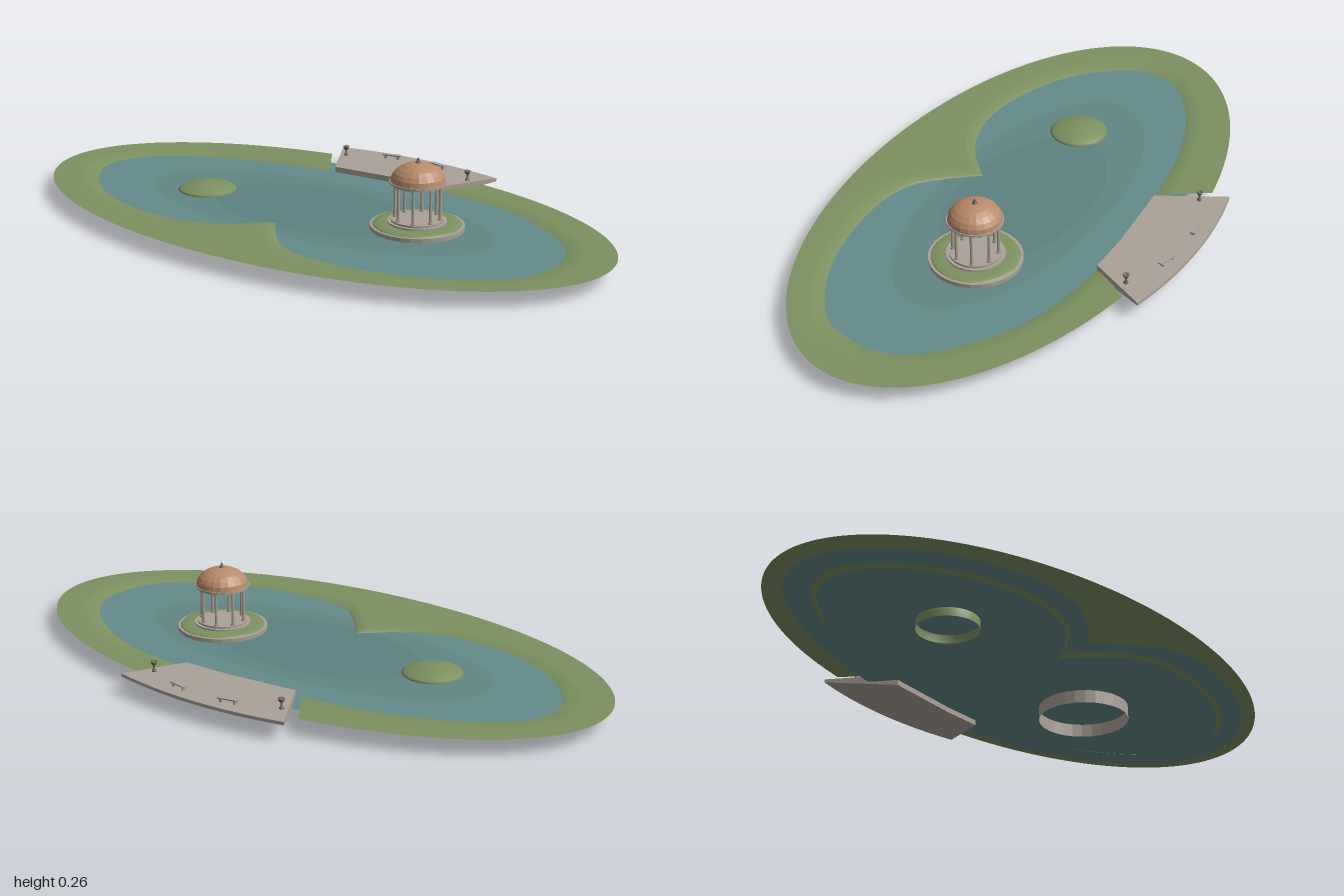
import * as THREE from 'three';

const V = (x, y, z) => new THREE.Vector3(x, y, z);
const mat = (color, extra = {}) => new THREE.MeshStandardMaterial({ color, ...extra });
const double = { side: THREE.DoubleSide };
const GRASS = 0x7c9160, STONE = 0xaaa197, WATER = 0x648b8a;
const stone = mat(STONE, double);
const grass = mat(GRASS, double);
const bronze = mat(0x6f6a5c, double);
const tile = mat(0xb98a6a, { ...double, flatShading: true });

function add(parent, name, geometry, material, x = 0, y = 0, z = 0) {
  const mesh = new THREE.Mesh(geometry, material);
  mesh.name = name;
  mesh.position.set(x, y, z);
  parent.add(mesh);
  return mesh;
}

// Skin a list of equally long rows of points
function skin(rows) {
  const n = rows[0].length, index = [];
  for (let r = 0; r < rows.length - 1; r++) {
    for (let i = 0; i < n - 1; i++) {
      const a = r * n + i, b = a + n;
      index.push(a, a + 1, b, a + 1, b + 1, b);
    }
  }
  const g = new THREE.BufferGeometry().setFromPoints(rows.flat());
  g.setIndex(index);
  g.computeVertexNormals();
  return g;
}

const lathe = (points, segments) =>
  new THREE.LatheGeometry(points.map(([r, y]) => new THREE.Vector2(r, y)), segments);

// Waterline, from the back left gap to the front cusp, then round to the right gap
const westShore = [[-0.21, -0.32], [-0.45, -0.28], [-0.70, -0.18], [-0.83, -0.06], [-0.85, 0.06],
  [-0.77, 0.19], [-0.64, 0.29], [-0.45, 0.355], [-0.30, 0.36], [-0.18, 0.325], [-0.10, 0.27], [-0.03, 0.20]];
const eastShore = [[-0.03, 0.20], [0.05, 0.30], [0.13, 0.37], [0.27, 0.40], [0.51, 0.37], [0.68, 0.30],
  [0.81, 0.19], [0.845, 0.03], [0.81, -0.08], [0.67, -0.21], [0.46, -0.31], [0.21, -0.345]];
const shore = [westShore, eastShore].flatMap((list, k) =>
  new THREE.CatmullRomCurve3(list.map(([x, z]) => V(x, 0, z))).getPoints(90).slice(k));

// Point on the outer oval in the direction of a shore point
function rim(p) {
  const A = 1, B = 0.53, c = 0.035, d = p.clone().normalize();
  const a = d.x * d.x / (A * A) + d.z * d.z / (B * B);
  const b = -2 * d.z * c / (B * B);
  const k = c * c / (B * B) - 1;
  return d.multiplyScalar((-b + Math.sqrt(b * b - 4 * a * k)) / (2 * a));
}

// Move a shore point outward by d, at height y
const outward = (p, d, y) => p.clone().setLength(p.length() + d).setY(y);

function buildGround(root) {
  const bed = p => 0.035 - 0.006 * Math.exp(-(((p.x + 0.03) / 0.15) ** 2)) * (p.z > 0 ? 1 : 0);
  add(root, 'lawnAndBank', skin([
    shore.map(p => rim(p).setY(0.05)),
    shore.map(p => outward(p, 0.06, 0.05)),
    shore.map(p => outward(p, 0.045, 0.0495)),
    shore.map(p => outward(p, 0.02, 0.046)),
    shore.map(p => outward(p, 0, 0.042)),
    shore.map(p => outward(p, -0.02, bed(p))),
  ]), grass);

  // Water reaches under the bank, and under the terrace at the back
  const edge = shore.map(p => outward(p, Math.min(0.1, 0.6 * (rim(p).length() - p.length())), 0.042));
  edge.push(edge[0].clone());
  add(root, 'water', skin([edge, edge.map(() => V(0, 0.042, 0))]), mat(WATER, double));
  [[0.62, 0.27, 0x618786], [0.37, 0.21, 0x5d8281]].forEach(([rx, rz, color], i) => {
    const g = new THREE.CircleGeometry(1, 64).rotateX(-Math.PI / 2).scale(rx, 1, rz);
    add(root, 'deepWater', g, mat(color), 0, 0.0423 + i * 0.0003, 0.03);
  });
}

function buildMound(root) {
  add(root, 'grassIsland', lathe([[0.094, 0.015], [0.094, 0.044], [0.088, 0.049],
    [0.07, 0.056], [0.045, 0.062], [0.02, 0.065], [0, 0.066]], 28), grass, -0.41, 0, 0.067);
}

function buildTemple(root) {
  const temple = new THREE.Group();
  temple.name = 'temple';
  temple.position.set(0.345, 0, -0.007);
  root.add(temple);

  // Island with a stone wall, coping and lawn
  const wall = mat(STONE, { ...double, flatShading: true });
  add(temple, 'islandWall', lathe([[0.143, 0], [0.143, 0.055], [0.11, 0.056]], 28), wall);
  add(temple, 'islandLawn', lathe([[0.135, 0.055], [0.13, 0.06], [0.11, 0.062], [0, 0.062]], 28), grass);
  add(temple, 'lowerStep', new THREE.CylinderGeometry(0.09, 0.09, 0.006, 24), stone, 0, 0.064, 0);
  add(temple, 'upperStep', new THREE.CylinderGeometry(0.08, 0.08, 0.006, 24), stone, 0, 0.07, 0);

  // Ring of columns
  const shaft = new THREE.CylinderGeometry(0.0042, 0.005, 0.104, 10);
  const block = new THREE.CylinderGeometry(0.0075, 0.0075, 0.005, 10);
  for (let i = 0; i < 8; i++) {
    const a = (i + 0.5) * Math.PI / 4;
    const x = 0.069 * Math.cos(a), z = 0.069 * Math.sin(a);
    add(temple, 'column', shaft, stone, x, 0.125, z);
    add(temple, 'columnBase', block, stone, x, 0.0755, z);
    add(temple, 'columnCapital', block, stone, x, 0.1755, z);
  }

  // Ring beam, dome and finial
  add(temple, 'ringBeam', lathe([[0.06, 0.178], [0.078, 0.178], [0.078, 0.184], [0.086, 0.185],
    [0.086, 0.19], [0.06, 0.19], [0.06, 0.178]], 24), mat(STONE, { ...double, flatShading: true }));
  const dome = [];
  for (let i = 0; i <= 6; i++) {
    const a = i / 6 * Math.PI / 2;
    dome.push([0.083 * Math.cos(a), 0.19 + 0.056 * Math.sin(a)]);
  }
  add(temple, 'dome', lathe(dome, 20), tile);
  add(temple, 'finial', lathe([[0.008, 0.243], [0.008, 0.248], [0.004, 0.251], [0.005, 0.254], [0, 0.263]], 10), bronze);
}

function buildTerrace(root) {
  // Wedge-shaped paving: straight front, curved back, underside rising to the back
  const front = [], back = [], N = 12;
  for (let i = 0; i <= N; i++) {
    const t = i / N * 2 - 1;
    front.push(t < 0.35 ? V(-0.19 + 0.265 * (t + 1) / 1.35, 0, -0.325 - 0.02 * (t + 1) / 1.35)
      : V(0.075 + 0.135 * (t - 0.35) / 0.65, 0, -0.345));
    back.push(V(0.305 * t, 0, -0.565 + 0.035 * t * t));
  }
  const at = (row, y) => row.map(p => p.clone().setY(y));
  const loop = [at(front, 0.06), at(back, 0.06), at(back, 0.05), at(front, 0.025), at(front, 0.06)];
  const paving = mat(STONE, { ...double, flatShading: true });
  add(root, 'terrace', skin(loop), paving);
  for (const i of [0, N]) {
    add(root, 'terraceSide', skin([[loop[0][i], loop[1][i]], [loop[3][i], loop[2][i]]]), paving);
  }

  const urn = lathe([[0, 0], [0.007, 0], [0.007, 0.004], [0.003, 0.006], [0.003, 0.018],
    [0.007, 0.022], [0.01, 0.029], [0.01, 0.032], [0.007, 0.032], [0, 0.027]], 12);
  for (const s of [-1, 1]) {
    add(root, 'urn', urn, bronze, s * 0.24, 0.06, -0.457);
    const bench = new THREE.Group();
    bench.name = 'bench';
    bench.position.set(s * 0.092, 0.06, -0.515);
    bench.rotation.y = -s * 0.2;
    add(bench, 'seat', new THREE.BoxGeometry(0.064, 0.004, 0.016), stone, 0, 0.012, 0);
    for (const x of [-0.022, 0.022]) {
      add(bench, 'benchLeg', new THREE.BoxGeometry(0.006, 0.01, 0.013), stone, x, 0.005, 0);
    }
    root.add(bench);
  }
}

export function createModel() {
  const root = new THREE.Group();
  root.name = 'lakeGarden';
  buildGround(root);
  buildMound(root);
  buildTemple(root);
  buildTerrace(root);
  return root;
}
